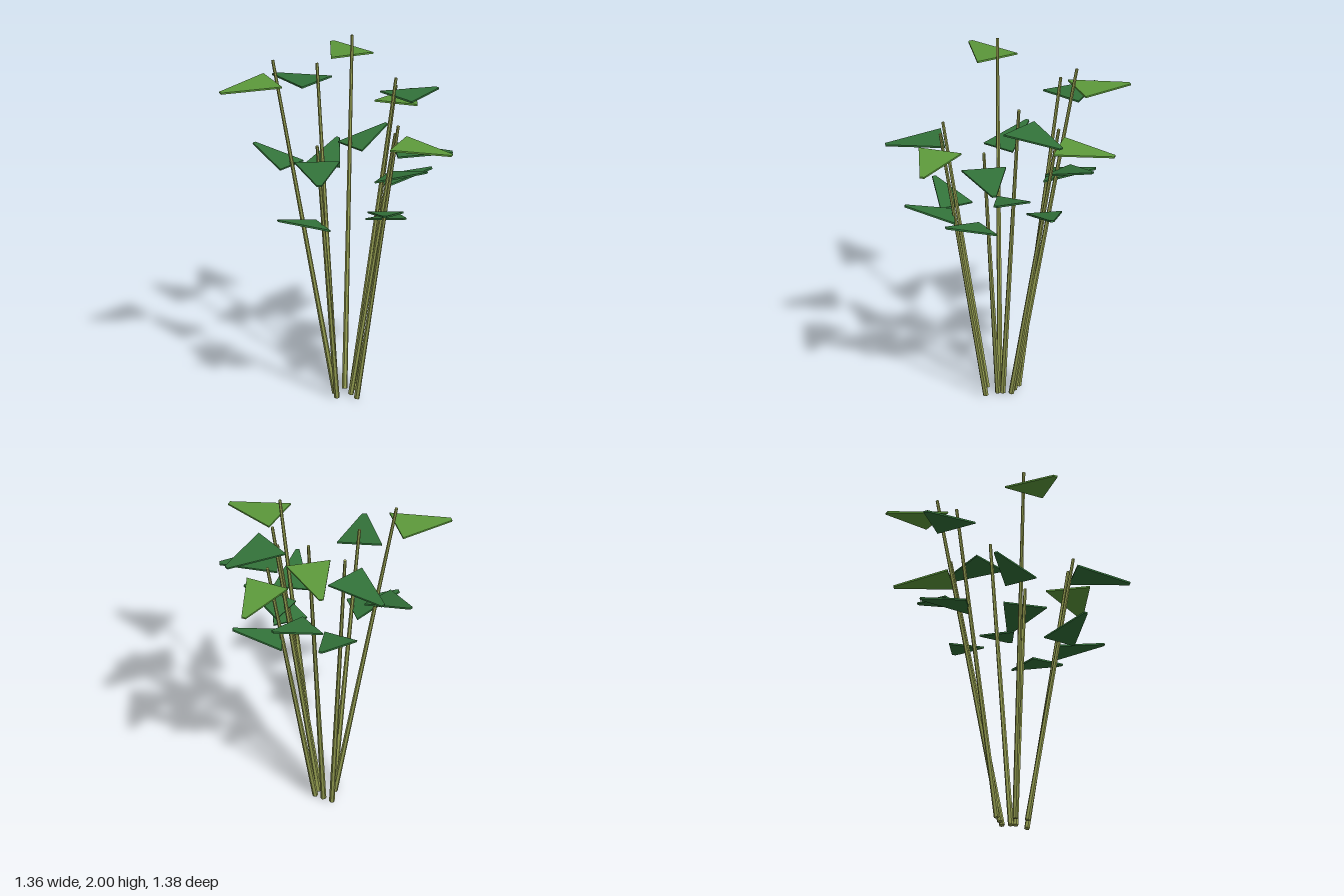
import * as THREE from 'three';

const material = (name, color) => {
  const m = new THREE.MeshStandardMaterial({ color });
  m.name = name;
  return m;
};

// Flat tapered blade: wide edge at the origin, narrow end along +x
function bladeGeometry(length, width, tip, thickness) {
  const s = new THREE.Shape();
  s.moveTo(0, -width / 2);
  s.lineTo(length, -tip / 2);
  s.lineTo(length, tip / 2);
  s.lineTo(0, width / 2);
  s.closePath();
  const g = new THREE.ExtrudeGeometry(s, { depth: thickness, bevelEnabled: false });
  return g.rotateX(Math.PI / 2);
}

export function createModel() {
  const group = new THREE.Group();
  group.name = 'plant';
  const stemMat = material('olive stem', 0x939c50);
  const darkMat = material('dark green leaf', 0x33733a);
  const lightMat = material('light green leaf', 0x5d9a3b);

  const upperBlade = bladeGeometry(0.328, 0.256, 0.026, 0.01);
  const lowerBlade = bladeGeometry(0.288, 0.204, 0.021, 0.01);

  // Base x, z; top x, z; height; upper and lower leaf headings in degrees; light upper leaf
  const stems = [
    [-0.137, -0.055, -0.32, -0.25, 1.86, -158.5, -92, false],
    [-0.08, -0.047, -0.16, -0.393, 2.0, -130, -62, true],
    [-0.027, -0.045, 0.113, -0.368, 1.74, -92.6, -26, true],
    [-0.022, 0.004, 0.19, -0.155, 1.865, -64, 5.4, false],
    [-0.015, 0.03, 0.253, 0.033, 1.6, -27, 42, false],
    [0.04, 0.085, 0.354, 0.261, 1.735, 1.8, 71, true],
    [-0.105, 0.045, -0.438, 0.16, 2.0, 135.6, -160, true],
    [-0.07, 0.11, -0.092, 0.378, 1.6, 68, 136, false],
  ];

  const addLeaf = (name, geometry, mat, position, pitch, heading) => {
    const leaf = new THREE.Mesh(geometry, mat);
    leaf.name = name;
    leaf.position.copy(position);
    leaf.rotation.set(0, -THREE.MathUtils.degToRad(heading), pitch, 'YXZ');
    group.add(leaf);
  };

  stems.forEach(([bx, bz, tx, tz, h, upper, lower, light], i) => {
    const base = new THREE.Vector3(bx, 0.002, bz);
    const top = new THREE.Vector3(tx, h - 0.002, tz);
    const dir = top.clone().sub(base);

    // Leaning tapered stem
    const g = new THREE.CylinderGeometry(0.009, 0.016, dir.length(), 6).toNonIndexed();
    g.computeVertexNormals();
    const stem = new THREE.Mesh(g, stemMat);
    stem.name = `stem${i + 1}`;
    stem.position.copy(base).add(top).multiplyScalar(0.5);
    stem.quaternion.setFromUnitVectors(new THREE.Vector3(0, 1, 0), dir.normalize());
    group.add(stem);

    // Drooping leaf near the top, rising leaf lower down
    addLeaf(`upperLeaf${i + 1}`, upperBlade, light ? lightMat : darkMat,
      new THREE.Vector3(tx, h * 0.94, tz), -0.08, upper);
    const low = base.clone().lerp(top, 0.69);
    low.y = h * 0.686;
    addLeaf(`lowerLeaf${i + 1}`, lowerBlade, darkMat, low, 0.25, lower);
  });
  return group;
}
